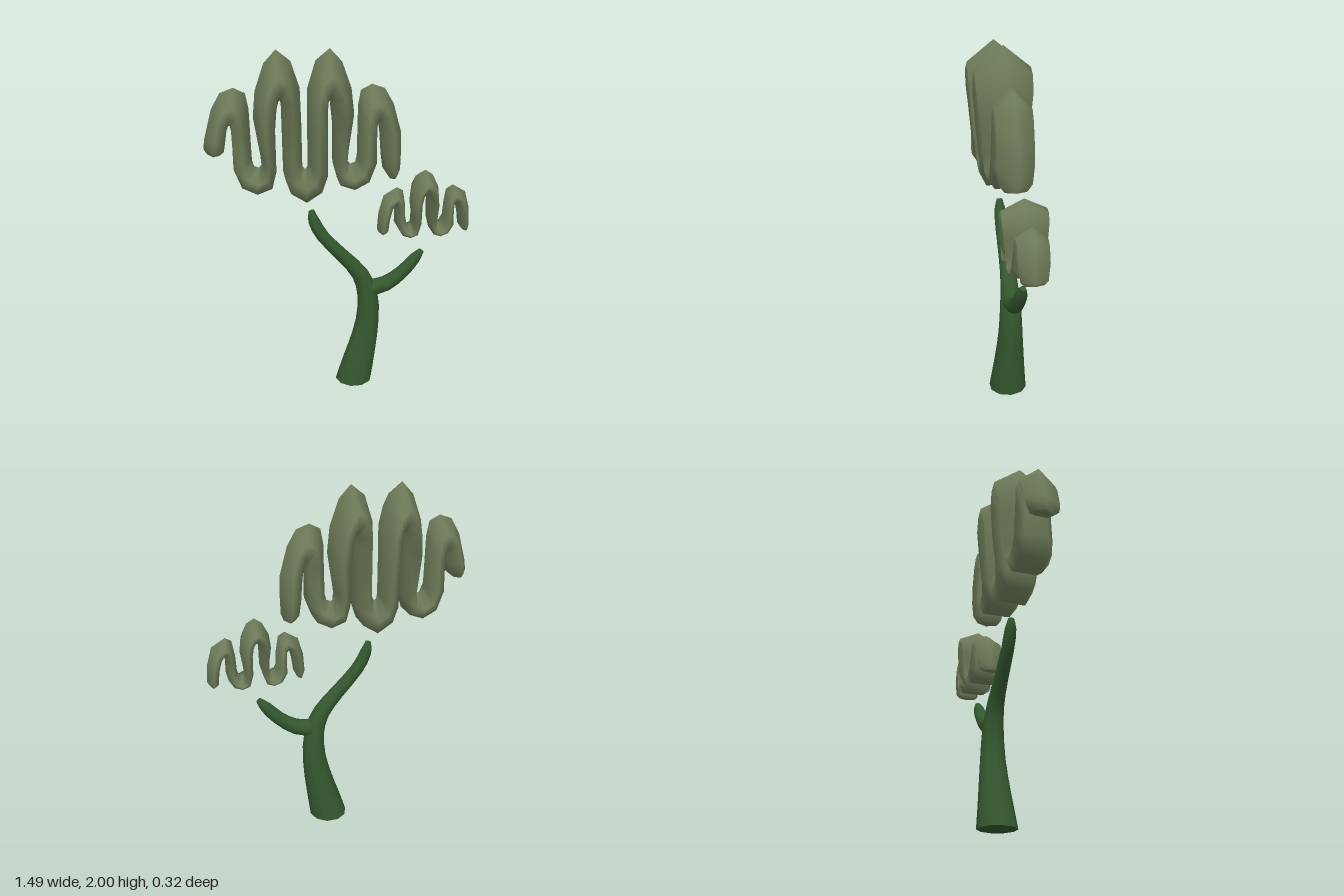
import * as THREE from 'three';

// Skin a list of equal-sized rings (arrays of Vector3) and cap both ends.
function loft(rings) {
  const n = rings[0].length, pos = [], idx = [];
  rings.forEach(r => r.forEach(p => pos.push(p.x, p.y, p.z)));
  for (let i = 0; i < rings.length - 1; i++) {
    for (let k = 0; k < n; k++) {
      const a = i * n + k, b = i * n + (k + 1) % n;
      idx.push(a, b, a + n, b, b + n, a + n);
    }
  }
  const cap = (ring, start) => {
    const base = pos.length / 3;
    const c = new THREE.Vector3();
    ring.forEach(p => { pos.push(p.x, p.y, p.z); c.addScaledVector(p, 1 / n); });
    pos.push(c.x, c.y, c.z);
    for (let k = 0; k < n; k++) {
      const a = base + k, b = base + (k + 1) % n;
      if (start) idx.push(base + n, b, a); else idx.push(base + n, a, b);
    }
  };
  cap(rings[0], true);
  cap(rings[rings.length - 1], false);
  const g = new THREE.BufferGeometry();
  g.setAttribute('position', new THREE.Float32BufferAttribute(pos, 3));
  g.setIndex(idx);
  g.computeVertexNormals();
  return g;
}

// Tapered limb through [x, y, radius] points, bending in the xy plane.
function limb(pts, flatBase) {
  const curve = new THREE.CatmullRomCurve3(pts.map(p => new THREE.Vector3(p[0], p[1], p[2])));
  const steps = (pts.length - 1) * 2, sides = 10, rings = [];
  for (let i = 0; i <= steps; i++) {
    const c = curve.getPoint(i / steps), t = curve.getTangent(i / steps);
    if (flatBase && i === 0) t.set(0, 1, 0);
    t.z = 0;
    t.normalize();
    const ring = [];
    for (let k = 0; k < sides; k++) {
      const a = k / sides * Math.PI * 2, r = c.z * Math.cos(a);
      ring.push(new THREE.Vector3(c.x - t.y * r, c.y + t.x * r, c.z * Math.sin(a)));
    }
    rings.push(ring);
  }
  return loft(rings);
}

// Winding leaf ribbon: each row is [upper x, upper y, lower x, lower y, half depth].
// The five-sided section has its ridge on the upper side and a flat lower side.
function ribbon(rows) {
  const rings = rows.map(([ux, uy, lx, ly, d]) => {
    const mx = (ux + lx) / 2, my = (uy + ly) / 2;
    return [
      new THREE.Vector3(ux, uy, 0),
      new THREE.Vector3(mx, my, d),
      new THREE.Vector3(lx, ly, 0.62 * d),
      new THREE.Vector3(lx, ly, -0.62 * d),
      new THREE.Vector3(mx, my, -d),
    ];
  });
  return loft(rings);
}

// Complete a half ribbon, whose last row lies on the mirror line x = c.
const mirrorRows = (rows, c) => rows.concat(
  rows.slice(0, -1).reverse().map(([ux, uy, lx, ly, d]) => [2 * c - ux, uy, 2 * c - lx, ly, d]));

export function createModel() {
  const bark = new THREE.MeshStandardMaterial({ color: 0x34582e });
  bark.name = 'dark green bark';
  const leaf = new THREE.MeshStandardMaterial({ color: 0x6f7c59 });
  leaf.name = 'sage leaf';
  const model = new THREE.Group();
  model.name = 'tree';
  const add = (name, geo, mat) => {
    const m = new THREE.Mesh(geo, mat);
    m.name = name;
    model.add(m);
  };

  // Trunk and side branch
  add('trunk', limb([
    [0.07, 0, 0.11], [0.117, 0.2, 0.088], [0.152, 0.4, 0.07], [0.15, 0.57, 0.06],
    [0.105, 0.7, 0.049], [0.005, 0.82, 0.04], [-0.11, 0.95, 0.036],
    [-0.162, 1.05, 0.032], [-0.174, 1.11, 0.016],
  ], true), bark);
  add('sideBranch', limb([
    [0.16, 0.605, 0.05], [0.26, 0.627, 0.046], [0.36, 0.7, 0.039],
    [0.43, 0.78, 0.033], [0.468, 0.828, 0.016],
  ], false), bark);

  // Large crown: four humps
  const large = mirrorRows([
    [-0.735, 1.54, -0.625, 1.54, 0.1],
    [-0.69, 1.7, -0.615, 1.6, 0.1],
    [-0.64, 1.785, -0.605, 1.625, 0.1],
    [-0.57, 1.81, -0.597, 1.625, 0.1],
    [-0.51, 1.78, -0.592, 1.6, 0.1],
    [-0.495, 1.7, -0.59, 1.52, 0.1],
    [-0.49, 1.42, -0.59, 1.39, 0.108],
    [-0.48, 1.385, -0.55, 1.285, 0.112],
    [-0.455, 1.375, -0.47, 1.245, 0.115],
    [-0.44, 1.39, -0.39, 1.275, 0.118],
    [-0.445, 1.45, -0.365, 1.37, 0.122],
    [-0.475, 1.65, -0.365, 1.6, 0.14],
    [-0.46, 1.79, -0.355, 1.71, 0.155],
    [-0.41, 1.93, -0.345, 1.75, 0.158],
    [-0.345, 2, -0.335, 1.76, 0.155],
    [-0.27, 1.94, -0.325, 1.74, 0.158],
    [-0.225, 1.8, -0.32, 1.68, 0.155],
    [-0.22, 1.6, -0.32, 1.5, 0.142],
    [-0.22, 1.4, -0.32, 1.33, 0.122],
    [-0.217, 1.37, -0.29, 1.24, 0.117],
    [-0.205, 1.355, -0.205, 1.185, 0.115],
  ], -0.205);
  large.unshift([-0.725, 1.462, -0.66, 1.46, 0.06], [-0.742, 1.49, -0.635, 1.485, 0.09]);
  large.push([0.327, 1.42, 0.225, 1.41, 0.1], [0.325, 1.33, 0.235, 1.33, 0.09],
    [0.31, 1.292, 0.26, 1.292, 0.06]);
  add('largeCrown', ribbon(large), leaf);

  // Small crown: three humps
  add('smallCrown', ribbon(mirrorRows([
    [0.21, 0.958, 0.245, 0.956, 0.05],
    [0.2, 0.98, 0.257, 0.975, 0.07],
    [0.207, 1.08, 0.265, 1.05, 0.08],
    [0.235, 1.18, 0.28, 1.11, 0.08],
    [0.31, 1.225, 0.295, 1.135, 0.08],
    [0.345, 1.205, 0.308, 1.12, 0.08],
    [0.36, 1.12, 0.31, 1.06, 0.084],
    [0.365, 1.03, 0.31, 1.0, 0.092],
    [0.375, 1.0, 0.34, 0.95, 0.095],
    [0.39, 0.99, 0.385, 0.935, 0.098],
    [0.405, 1.0, 0.425, 0.95, 0.1],
    [0.397, 1.06, 0.444, 1.02, 0.105],
    [0.385, 1.14, 0.445, 1.13, 0.113],
    [0.395, 1.22, 0.453, 1.18, 0.12],
    [0.43, 1.29, 0.463, 1.2, 0.122],
    [0.472, 1.32, 0.472, 1.205, 0.12],
  ], 0.472)), leaf);

  return model;
}
